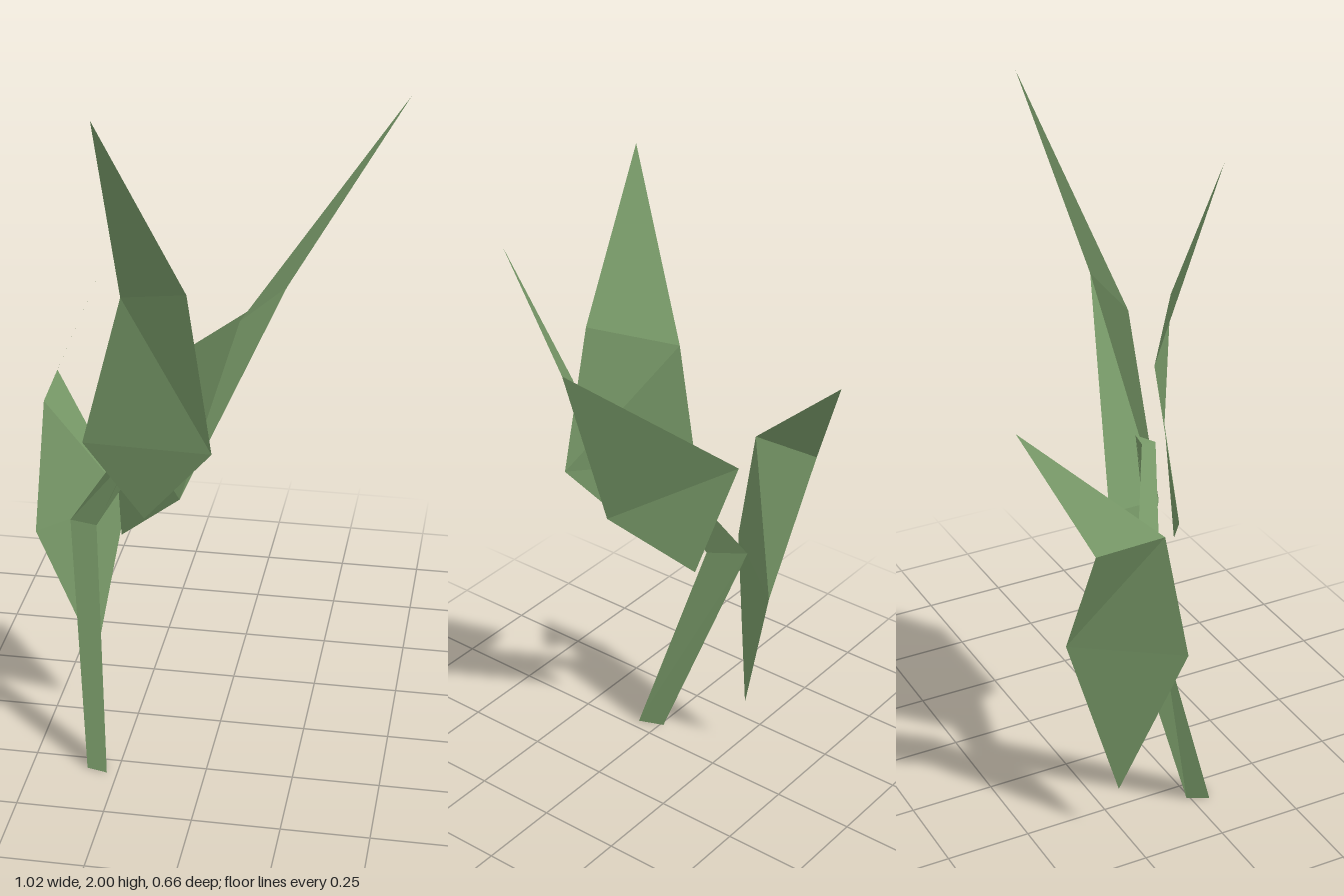
import * as THREE from 'three';

const green = new THREE.MeshStandardMaterial({
  color: 0x7a9c6a, flatShading: true, side: THREE.DoubleSide,
});

// Mesh from corner points and triangles, faceted
function facetedMesh(name, points, triangles) {
  const indexed = new THREE.BufferGeometry();
  indexed.setAttribute('position', new THREE.Float32BufferAttribute(points.flat(), 3));
  indexed.setIndex(triangles.flat());
  const geometry = indexed.toNonIndexed();
  geometry.computeVertexNormals();
  const mesh = new THREE.Mesh(geometry, green);
  mesh.name = name;
  return mesh;
}

// Folded leaf blade: base, lower pair, upper pair, tip
function leaf(name, base, lowA, lowB, highA, highB, tip) {
  return facetedMesh(name, [base, lowA, lowB, highA, highB, tip], [
    [0, 2, 1],
    [1, 2, 3],
    [2, 4, 3],
    [3, 4, 5],
  ]);
}

// Three-sided stem through triangular cross-sections, capped at both ends
function stem(name, sections) {
  const triangles = [[0, 2, 1]];
  for (let s = 0; s < sections.length - 1; s++) {
    for (let i = 0; i < 3; i++) {
      const a = s * 3 + i, b = s * 3 + (i + 1) % 3;
      triangles.push([a, b, b + 3], [a, b + 3, a + 3]);
    }
  }
  const last = (sections.length - 1) * 3;
  triangles.push([last, last + 1, last + 2]);
  return facetedMesh(name, sections.flat(), triangles);
}

export function createModel() {
  const plant = new THREE.Group();
  plant.name = 'plant';

  // Bent stalk
  plant.add(stem('stem', [
    [[-0.31, 0, 0.24], [-0.34, 0, 0.30], [-0.28, 0, 0.315]],
    [[-0.41, 0.69, 0], [-0.42, 0.69, 0.08], [-0.34, 0.69, 0.10]],
    [[-0.145, 1.12, 0.16], [-0.15, 1.12, 0.20], [-0.09, 1.12, 0.17]],
  ]));

  // Upright leaf at the front
  plant.add(leaf('frontLeaf',
    [-0.17, 0.81, 0.255],
    [-0.36, 0.98, 0.16], [0.03, 1.06, 0.33],
    [-0.25, 1.41, 0.135], [-0.04, 1.50, 0.30],
    [-0.28, 1.96, 0.31]));

  // Long leaf sweeping out to the side
  plant.add(leaf('sideLeaf',
    [-0.27, 0.66, 0.09],
    [-0.315, 1.04, -0.03], [-0.07, 0.88, 0.26],
    [0.205, 1.49, 0.18], [0.09, 1.41, 0.24],
    [0.505, 2.0, 0.10]));

  // Detached leaf at the back
  plant.add(leaf('backLeaf',
    [-0.38, 0.17, -0.025],
    [-0.515, 0.66, 0.11], [-0.305, 0.645, -0.155],
    [-0.495, 1.04, 0.04], [-0.505, 1.04, -0.17],
    [-0.37, 1.375, -0.33]));

  return plant;
}
